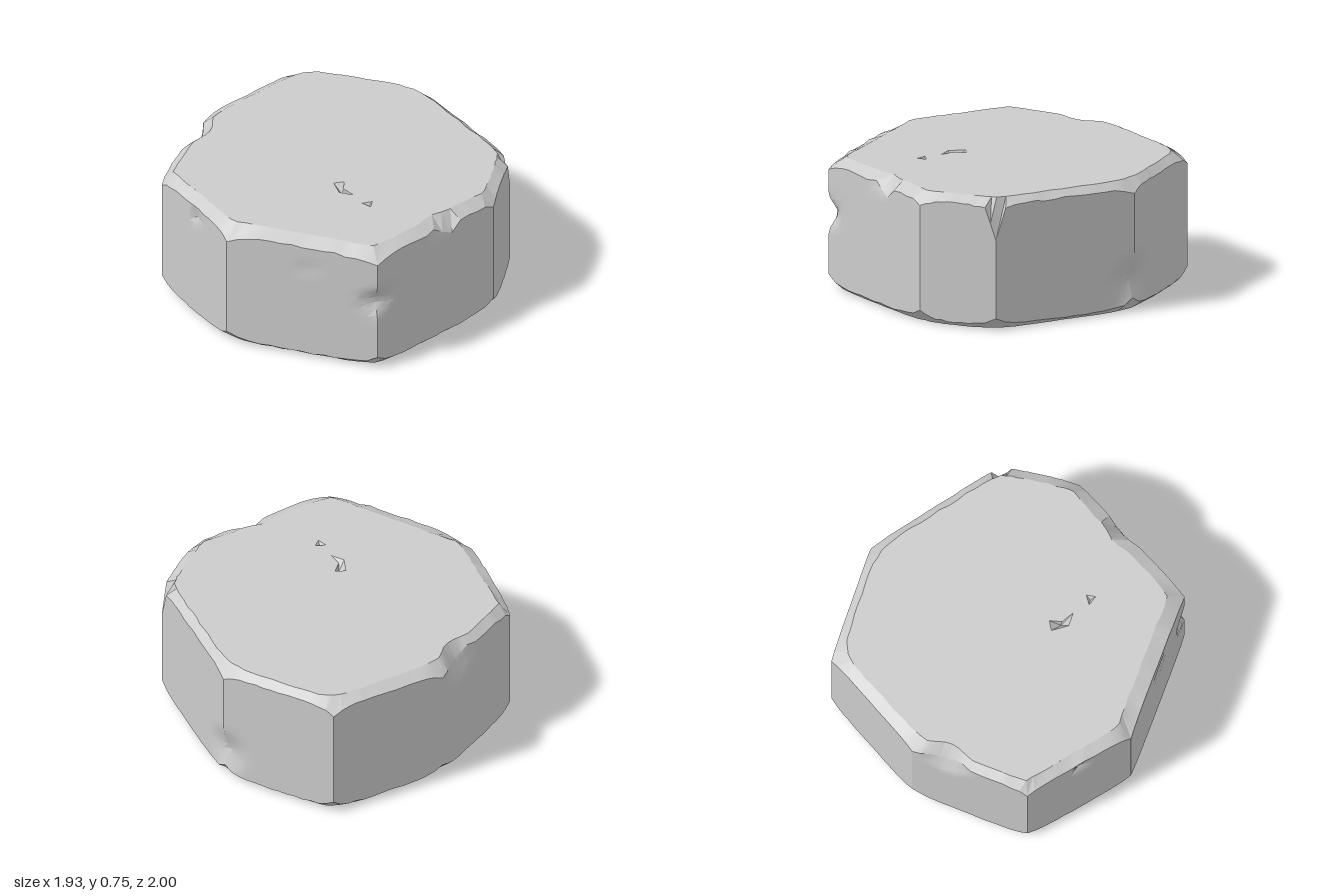
import * as THREE from 'three';
import { toCreasedNormals } from 'three/addons/utils/BufferGeometryUtils.js';

const HEIGHT = 0.755, SAMPLES = 14, ROWS = 18;

// Corners seen from above, clockwise: [x, z, corner inset, inset along the following edge]
const CORNERS = [
  [0.02, -1, 0.1, 0.045], [0.63, -0.66, 0.075, 0.045], [0.965, 0.14, 0.07, 0.055],
  [0.78, 0.55, 0.075, 0.075], [0.02, 1, 0.1, 0.085], [-0.74, 0.55, 0.09, 0.065],
  [-0.97, -0.08, 0.065, 0.05], [-0.59, -0.66, 0.085, 0.065],
];
// Nicks in the upper edge: [x, z, width, extra drop]
const NICKS = [
  [0.49, 0.72, 0.09, 0.08], [0.965, 0.14, 0.06, 0.15], [-0.66, -0.5, 0.14, 0.06],
  [-0.12, 0.92, 0.08, 0.02], [-0.7, 0.55, 0.08, 0.03],
];
// Chips knocked out of the body: [x, y, z, radius, depth]
const CHIPS = [
  [0.02, 0.43, 1, 0.1, 0.06], [0.63, 0.18, -0.66, 0.15, 0.05],
  [-0.68, 0.72, -0.48, 0.16, 0.07], [-0.84, 0.65, 0.24, 0.06, 0.03],
  [-0.33, 0.58, 0.79, 0.05, 0.02], [0.42, 0.74, 0.72, 0.1, 0.04],
];

// Small seeded generator for the worn edges
function seeded(seed) {
  return () => (seed = (seed * 16807) % 2147483647) / 2147483647;
}

function chip(p) {
  for (const [x, y, z, radius, depth] of CHIPS) {
    const fall = 1 - Math.hypot(p.x - x, p.y - y, p.z - z) / radius;
    if (fall <= 0) continue;
    const r = Math.hypot(p.x, p.z);
    p.x -= (p.x / r) * depth * fall;
    p.z -= (p.z / r) * depth * fall;
  }
  return p;
}

// One vertical strip of points per perimeter sample, from lower to upper face
function makeColumns() {
  const rnd = seeded(37);
  const columns = [];
  CORNERS.forEach(([x0, z0, c0, edge], i) => {
    const [x1, z1, c1] = CORNERS[(i + 1) % CORNERS.length];
    const length = Math.hypot(x1 - x0, z1 - z0);
    for (let s = 0; s < SAMPLES; s++) {
      const t = s / SAMPLES;
      const x = x0 + (x1 - x0) * t, z = z0 + (z1 - z0) * t, r = Math.hypot(x, z);
      const near0 = Math.exp(-t * length / 0.07), near1 = Math.exp(-(1 - t) * length / 0.07);
      const inset = edge + (c0 - edge) * near0 + (c1 - edge) * near1 + (rnd() - 0.5) * 0.01;
      const corner = Math.max(near0, near1);
      let drop = 0.03 + 0.04 * corner + rnd() * 0.012;
      for (const [nx, nz, width, extra] of NICKS) {
        drop += extra * Math.max(0, 1 - Math.hypot(x - nx, z - nz) / width);
      }
      const rise = 0.02 + 0.05 * corner + rnd() * 0.008;
      const at = (y, pull) => chip(new THREE.Vector3(x * (1 - pull / r), y, z * (1 - pull / r)));
      const column = [at(0, 0.03 + 0.035 * corner + rnd() * 0.008)];
      for (let k = 0; k <= ROWS; k++) column.push(at(rise + (HEIGHT - drop - rise) * k / ROWS, 0));
      column.push(at(HEIGHT, inset));
      columns.push(column);
    }
  });
  return columns;
}

function createStone() {
  const positions = [];
  const tri = (a, b, c) => positions.push(...a.toArray(), ...b.toArray(), ...c.toArray());
  const columns = makeColumns();

  // Sides and bevels
  columns.forEach((a, i) => {
    const b = columns[(i + 1) % columns.length];
    for (let k = 0; k < a.length - 1; k++) {
      tri(a[k], a[k + 1], b[k]);
      tri(b[k], a[k + 1], b[k + 1]);
    }
  });

  // Flat face with pits, each pit a hole whose walls run to a sunken point
  const face = (ring, y, up, pits) => {
    const flat = (p) => new THREE.Vector2(p.x, p.z);
    const oriented = (a, b, c) => {
      const ny = (b.z - a.z) * (c.x - a.x) - (b.x - a.x) * (c.z - a.z);
      if (ny * up > 0) tri(a, b, c);
      else tri(a, c, b);
    };
    const holes = pits.map(({ outline }) => outline.map(([x, z]) => new THREE.Vector3(x, y, z)));
    const all = [...ring, ...holes.flat()];
    for (const [a, b, c] of THREE.ShapeUtils.triangulateShape(ring.map(flat), holes.map((h) => h.map(flat)))) {
      oriented(all[a], all[b], all[c]);
    }
    holes.forEach((hole, h) => {
      const tip = hole.reduce((sum, p) => sum.add(p), new THREE.Vector3()).divideScalar(hole.length);
      tip.y = y - up * pits[h].depth;
      hole.forEach((p, i) => oriented(p, hole[(i + 1) % hole.length], tip));
    });
  };
  face(columns.map((c) => c[c.length - 1]), HEIGHT, 1, [
    { outline: [[-0.06, 0.23], [0, 0.23], [-0.02, 0.3], [0.02, 0.37], [-0.05, 0.33]], depth: 0.05 },
    { outline: [[0.05, 0.465], [0.11, 0.46], [0.09, 0.51]], depth: 0.02 },
  ]);
  face(columns.map((c) => c[0]), 0, -1, [
    { outline: [[0.08, -0.32], [0.13, -0.4], [0.03, -0.46], [-0.04, -0.4], [0.0, -0.33]], depth: 0.05 },
    { outline: [[0.36, -0.12], [0.4, -0.08], [0.33, -0.03]], depth: 0.02 },
  ]);

  const geometry = new THREE.BufferGeometry();
  geometry.setAttribute('position', new THREE.Float32BufferAttribute(positions, 3));
  return toCreasedNormals(geometry, 0.35);
}

export function createModel() {
  const group = new THREE.Group();
  group.name = 'stoneBlock';
  const stone = new THREE.Mesh(createStone(), new THREE.MeshStandardMaterial({ color: 0xcccccc }));
  stone.name = 'stone';
  group.add(stone);
  return group;
}
